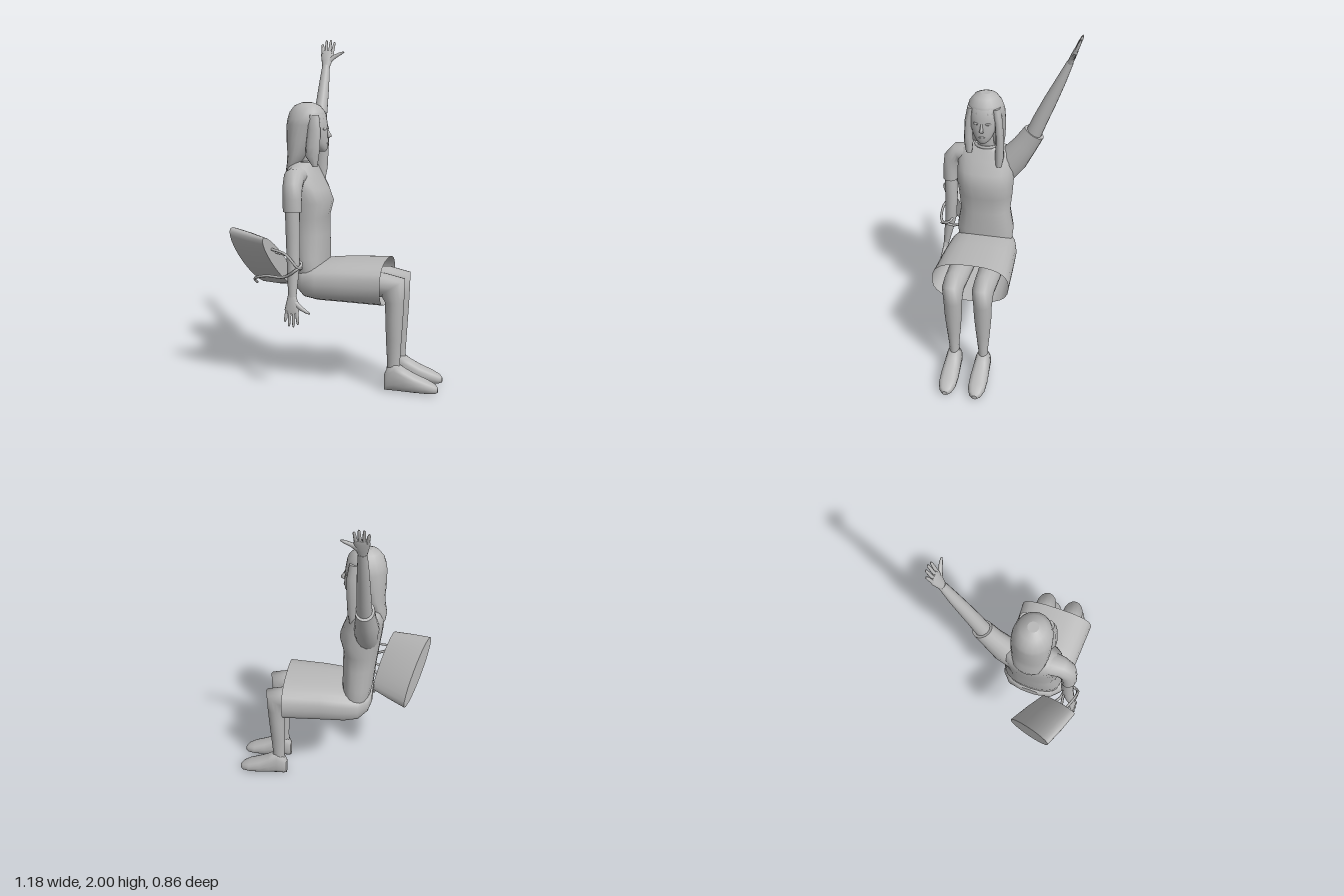
import * as THREE from 'three';

const V = (x, y, z) => new THREE.Vector3(x, y, z);
const X = V(1, 0, 0), Y = V(0, 1, 0), Z = V(0, 0, 1);

// Loft through rings [x, y, z, a, b]: a is the half size along ref, b across it.
function loft(rings, ref, { sides = 16, power = 2, axis = null, caps = [true, true] } = {}) {
  const pos = [], idx = [], n = sides;
  const centres = rings.map(r => V(r[0], r[1], r[2]));
  const point = (i, k) => pos.slice((i * n + k) * 3, (i * n + k) * 3 + 3);
  rings.forEach((r, i) => {
    const t = axis ? axis.clone() : centres[Math.min(i + 1, rings.length - 1)].clone()
      .sub(centres[Math.max(i - 1, 0)]).normalize();
    const u = ref.clone().addScaledVector(t, -ref.dot(t)).normalize();
    const w = t.clone().cross(u);
    for (let k = 0; k < n; k++) {
      const a = k / n * Math.PI * 2, c = Math.cos(a), s = Math.sin(a);
      const p = centres[i].clone()
        .addScaledVector(u, r[3] * Math.sign(c) * Math.abs(c) ** (2 / power))
        .addScaledVector(w, r[4] * Math.sign(s) * Math.abs(s) ** (2 / power));
      pos.push(p.x, p.y, p.z);
    }
  });
  const last = rings.length - 1;
  for (let i = 0; i < last; i++) for (let k = 0; k < n; k++) {
    const a = i * n + k, b = i * n + (k + 1) % n;
    idx.push(a, b, a + n, b, b + n, a + n);
  }
  [0, last].forEach((ring, e) => {
    if (!caps[e]) return;
    const start = pos.length / 3;
    for (let k = 0; k < n; k++) pos.push(...point(ring, k));
    pos.push(...centres[ring].toArray());
    for (let k = 0; k < n; k++) {
      const a = start + k, b = start + (k + 1) % n;
      e ? idx.push(start + n, a, b) : idx.push(start + n, b, a);
    }
  });
  const g = new THREE.BufferGeometry();
  g.setAttribute('position', new THREE.Float32BufferAttribute(pos, 3));
  g.setIndex(idx);
  g.computeVertexNormals();
  return g;
}

// Horizontal ring from height, back and front x, half depth in z
const MID = 0.112;
const slice = ([y, back, front, hz, z = MID]) => [(back + front) / 2, y, z, (front - back) / 2, hz];

export function createModel() {
  const model = new THREE.Group();
  const grey = new THREE.MeshStandardMaterial({ color: 0xb8b8b8, side: THREE.DoubleSide });
  grey.name = 'plain grey';
  const add = (name, geometry, parent = model) => {
    const m = new THREE.Mesh(geometry, grey);
    m.name = name;
    parent.add(m);
    return m;
  };

  // Shirt and neck
  add('shirt', loft([
    [0.64, -0.24, -0.07, 0.165], [0.75, -0.26, -0.07, 0.175], [0.88, -0.272, -0.07, 0.152],
    [0.98, -0.285, -0.072, 0.163], [1.065, -0.297, -0.05, 0.17], [1.14, -0.306, -0.078, 0.174],
    [1.21, -0.31, -0.115, 0.172], [1.26, -0.295, -0.14, 0.15], [1.29, -0.275, -0.155, 0.08],
  ].map(slice), X, { axis: Y, power: 2.4, sides: 20 }));
  add('neck', loft([[-0.215, 1.24, MID, 0.05, 0.055], [-0.19, 1.32, MID, 0.043, 0.045],
    [-0.175, 1.42, MID, 0.045, 0.048]], X, { axis: Y }));
  const collar = add('collar', new THREE.TorusGeometry(0.065, 0.009, 6, 20));
  collar.position.set(-0.213, 1.288, MID);
  collar.rotation.set(Math.PI / 2, 0.1, 0);

  // Skirt, open at the hem
  add('skirt', loft([
    [-0.255, 0.635, MID, 0.07, 0.035], [-0.235, 0.625, MID, 0.14, 0.065], [-0.18, 0.61, MID, 0.187, 0.098],
    [-0.1, 0.612, MID, 0.208, 0.113], [0.05, 0.618, MID, 0.218, 0.122], [0.28, 0.618, MID, 0.23, 0.128],
  ], Z, { axis: X, power: 2.6, sides: 24, caps: [true, false] }));

  // Legs and shoes
  [['near', 0.203], ['far', 0.024]].forEach(([side, z]) => {
    const leg = new THREE.Group();
    leg.name = side + 'Leg';
    model.add(leg);
    add('leg', loft([
      [0, 0.605, z, 0.075, 0.075], [0.2, 0.61, z, 0.068, 0.07], [0.275, 0.612, z, 0.066, 0.07],
      [0.327, 0.606, z, 0.064, 0.085], [0.338, 0.52, z, 0.055, 0.055], [0.337, 0.43, z, 0.052, 0.051],
      [0.335, 0.3, z, 0.041, 0.045], [0.335, 0.18, z, 0.029, 0.038], [0.335, 0.08, z, 0.034, 0.04],
    ], Z), leg);
    add('shoe', loft([
      [0.285, 0.05, z, 0.028, 0.05], [0.305, 0.072, z, 0.042, 0.072], [0.345, 0.085, z, 0.046, 0.085],
      [0.4, 0.066, z, 0.05, 0.066], [0.46, 0.05, z, 0.054, 0.05], [0.53, 0.036, z, 0.052, 0.036],
      [0.573, 0.026, z, 0.036, 0.025], [0.591, 0.02, z, 0.014, 0.013],
    ], Z, { axis: X, power: 2.5 }), leg);
  });

  // Hand: fingers along local +y, thumb towards +x
  function hand(name, x, y, z, tilt) {
    const g = new THREE.Group();
    g.name = name;
    add('palm', loft([[-0.002, -0.01, 0, 0.023, 0.017], [0, 0.03, 0, 0.033, 0.016],
      [0, 0.075, 0, 0.042, 0.014], [0, 0.098, 0, 0.039, 0.009]], X, { axis: Y, sides: 12 }), g);
    [[-0.034, 0.145], [-0.012, 0.17], [0.012, 0.172], [0.034, 0.158]].forEach(([fx, len]) =>
      add('finger', loft([[fx * 0.85, 0.08, 0, 0.01, 0.01], [fx, 0.125, 0, 0.009, 0.009],
        [fx * 1.1, len - 0.008, 0, 0.007, 0.007], [fx * 1.1, len, 0, 0.003, 0.003]], X, { sides: 8 }), g));
    add('thumb', loft([[0.01, 0.03, 0, 0.014, 0.018], [0.05, 0.063, 0, 0.011, 0.013],
      [0.085, 0.083, 0, 0.009, 0.009], [0.105, 0.092, 0, 0.004, 0.004]], Z, { sides: 8 }), g);
    g.position.set(x, y, z);
    g.rotation.x = tilt;
    model.add(g);
  }

  // Lowered arm
  add('loweredSleeve', loft([
    [-0.22, 1.215, 0.22, 0.07, 0.06], [-0.22, 1.215, 0.29, 0.06, 0.055], [-0.218, 1.17, 0.326, 0.056, 0.052],
    [-0.217, 1.1, 0.338, 0.054, 0.046], [-0.217, 1.03, 0.341, 0.053, 0.045],
  ], X));
  add('loweredArm', loft([
    [-0.217, 1.08, 0.34, 0.042, 0.038], [-0.215, 0.9, 0.338, 0.04, 0.038], [-0.212, 0.76, 0.345, 0.037, 0.035],
    [-0.21, 0.65, 0.363, 0.031, 0.027], [-0.208, 0.555, 0.38, 0.023, 0.018],
  ], X));
  hand('loweredHand', -0.208, 0.56, 0.38, Math.PI - 0.16);

  // Raised arm
  add('raisedSleeve', loft([
    [-0.215, 1.1, 0.03, 0.07, 0.085], [-0.218, 1.2, -0.045, 0.072, 0.09],
    [-0.217, 1.3, -0.115, 0.06, 0.073], [-0.215, 1.392, -0.17, 0.055, 0.064],
  ], X));
  add('raisedArm', loft([
    [-0.213, 1.34, -0.148, 0.045, 0.048], [-0.212, 1.48, -0.205, 0.041, 0.044], [-0.212, 1.6, -0.257, 0.037, 0.039],
    [-0.212, 1.72, -0.31, 0.032, 0.03], [-0.212, 1.84, -0.36, 0.024, 0.019],
  ], X));
  hand('raisedHand', -0.21, 1.84, -0.36, -0.38);

  // Face
  add('face', loft([
    [1.352, -0.125, -0.085, 0.022], [1.37, -0.15, -0.075, 0.042], [1.4, -0.18, -0.071, 0.06],
    [1.45, -0.2, -0.072, 0.077], [1.5, -0.21, -0.076, 0.083], [1.56, -0.21, -0.086, 0.08],
    [1.6, -0.2, -0.12, 0.06],
  ].map(slice), X, { axis: Y, sides: 20 }));
  add('nose', loft([[-0.079, 1.485, MID, 0.004, 0.005], [-0.067, 1.45, MID, 0.012, 0.009],
    [-0.062, 1.437, MID, 0.013, 0.013], [-0.073, 1.427, MID, 0.005, 0.009]], X, { axis: Y, sides: 8 }));
  const lips = add('lips', new THREE.SphereGeometry(1, 10, 6));
  lips.scale.set(0.006, 0.006, 0.02);
  lips.position.set(-0.073, 1.398, MID);
  [-1, 1].forEach(s => {
    const eye = add('eye', new THREE.SphereGeometry(1, 10, 6));
    eye.scale.set(0.005, 0.007, 0.018);
    eye.position.set(-0.081, 1.48, MID + s * 0.037);
    eye.rotation.y = -s * 0.3;
  });

  // Hair: cap flowing down the back, fringe and two side locks
  add('hair', loft([
    [1.628, -0.225, -0.165, 0.03], [1.61, -0.268, -0.12, 0.068], [1.575, -0.295, -0.09, 0.095],
    [1.535, -0.308, -0.082, 0.108], [1.505, -0.312, -0.105, 0.112], [1.42, -0.313, -0.14, 0.112],
    [1.34, -0.308, -0.18, 0.106], [1.28, -0.31, -0.22, 0.095], [1.22, -0.32, -0.265, 0.075],
    [1.18, -0.315, -0.29, 0.045],
  ].map(slice), X, { axis: Y, sides: 20 }));
  [[1, 1.27], [-1, 1.19]].forEach(([s, end]) => {
    const at = (y, x, dz, a, b) => [x, y, MID + s * dz, a, b];
    add('sideLock', loft([at(1.56, -0.14, 0.07, 0.035, 0.025), at(1.48, -0.13, 0.088, 0.038, 0.022),
      at(1.38, -0.135, 0.093, 0.042, 0.023), at(end + 0.06, -0.14, 0.092, 0.04, 0.026),
      at(end, -0.125, 0.088, 0.014, 0.018)], X, { axis: Y, sides: 10 }));
  });

  // Bag with its mouth towards the arm
  const bag = new THREE.Group();
  bag.name = 'bag';
  model.add(bag);
  add('bagBody', loft([[-0.52, 0.745, 0.205, 0.232, 0.062], [-0.41, 0.742, 0.262, 0.215, 0.06],
    [-0.305, 0.74, 0.315, 0.195, 0.045]], V(0.1, -0.34, -0.27), { sides: 24 }), bag);
  [
    [[-0.33, 0.82, 0.37], [-0.24, 0.8, 0.4], [-0.175, 0.73, 0.395], [-0.17, 0.71, 0.33],
      [-0.24, 0.67, 0.31], [-0.29, 0.64, 0.26]],
    [[-0.48, 0.585, 0.2], [-0.46, 0.63, 0.29], [-0.37, 0.66, 0.345], [-0.26, 0.665, 0.375],
      [-0.18, 0.715, 0.4], [-0.165, 0.74, 0.34], [-0.25, 0.78, 0.33], [-0.32, 0.8, 0.34]],
  ].forEach(path => add('bagStrap', new THREE.TubeGeometry(
    new THREE.CatmullRomCurve3(path.map(p => V(...p))), 32, 0.008, 6), bag));

  return model;
}
